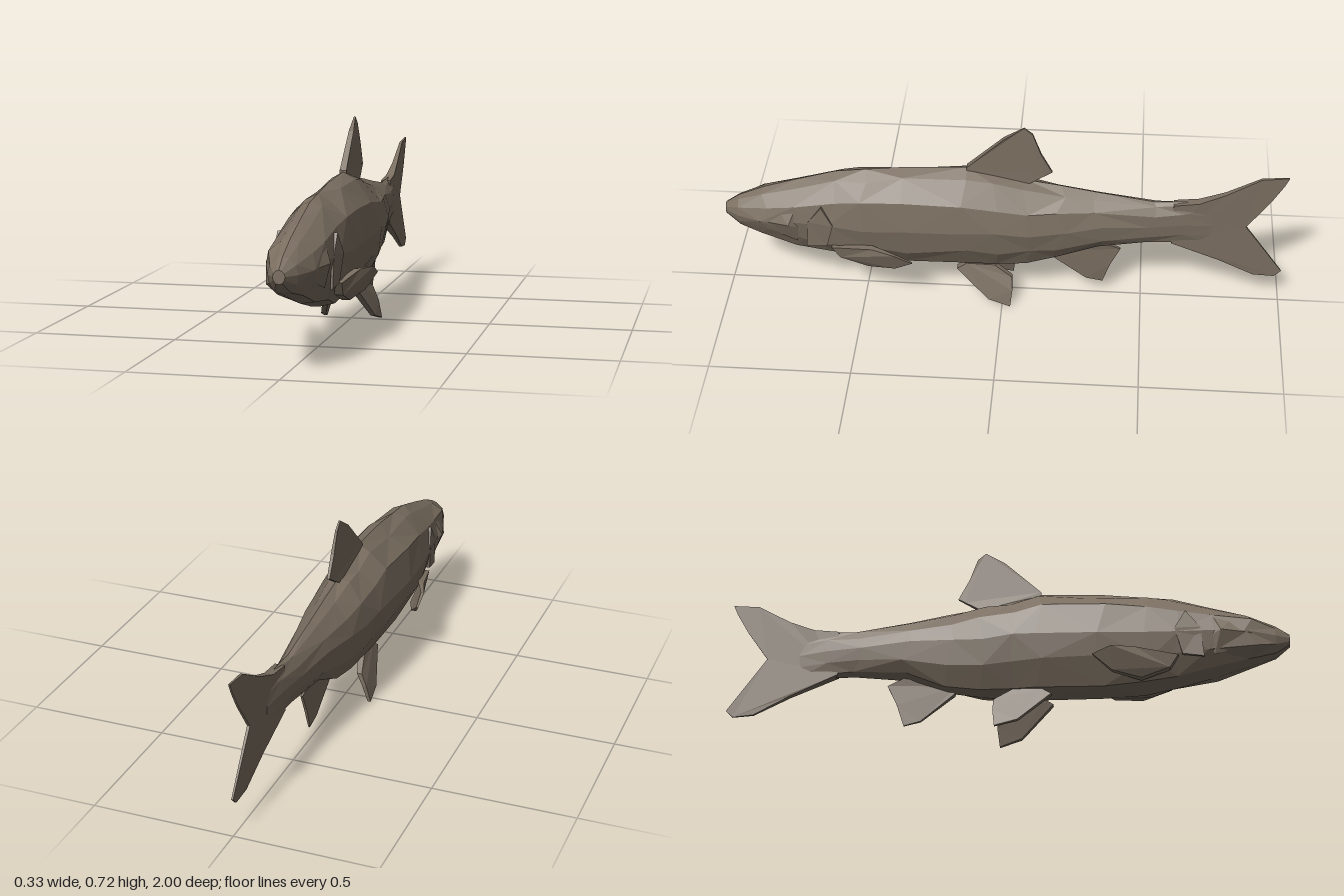
import * as THREE from 'three';

const skin = new THREE.MeshStandardMaterial({ color: 0x7a6e60, flatShading: true });
skin.name = 'grey brown skin';

// Geometry from loose points and triangle indices, with one normal per face
function faceted(points, index) {
  const g = new THREE.BufferGeometry();
  g.setAttribute('position', new THREE.Float32BufferAttribute(points.flat(), 3));
  g.setIndex(index);
  const flat = g.toNonIndexed();
  flat.computeVertexNormals();
  return flat;
}

function part(name, geometry) {
  const m = new THREE.Mesh(geometry, skin);
  m.name = name;
  return m;
}

// Body stations: z, bottom, top, half width
const stations = [
  [1.0, 0.305, 0.35, 0.02],
  [0.95, 0.265, 0.385, 0.05],
  [0.86, 0.235, 0.425, 0.083],
  [0.73, 0.195, 0.468, 0.098],
  [0.6, 0.162, 0.508, 0.108],
  [0.49, 0.14, 0.522, 0.118],
  [0.34, 0.135, 0.54, 0.124],
  [0.13, 0.138, 0.55, 0.123],
  [0.02, 0.145, 0.528, 0.115],
  [-0.08, 0.157, 0.505, 0.106],
  [-0.2, 0.178, 0.487, 0.09],
  [-0.34, 0.232, 0.462, 0.068],
  [-0.53, 0.255, 0.432, 0.043],
  [-0.64, 0.258, 0.438, 0.026],
  [-0.74, 0.25, 0.43, 0.012],
];
// Half cross-section: share of half width, share of height
const section = [[0, 1], [0.36, 0.94], [0.84, 0.77], [1, 0.52], [0.88, 0.27], [0.52, 0.05], [0, 0]];

function bodyGeometry() {
  let seed = 11;
  const jitter = (a) => {
    seed = (seed * 16807) % 2147483647;
    return (seed / 2147483647 - 0.5) * a;
  };
  const ring = [...section, ...section.slice(1, -1).reverse().map(([w, h]) => [-w, h])];
  const n = ring.length;
  const points = [];
  const index = [];
  stations.forEach(([z, lo, hi, half], s) => {
    const loose = s > 1 && s < stations.length - 2 ? 1 : 0;
    ring.forEach(([w, h]) => {
      const free = w === 0 ? 0 : loose;
      points.push([
        w * half * (1 + free * jitter(0.06)),
        lo + (hi - lo) * (h + free * jitter(0.06)),
        z + free * jitter(0.05),
      ]);
    });
  });
  for (let s = 0; s < stations.length - 1; s++) {
    for (let i = 0; i < n; i++) {
      const a = s * n + i, b = s * n + ((i + 1) % n), c = a + n, d = b + n;
      if ((s + i) % 2) index.push(a, b, d, a, d, c);
      else index.push(a, b, c, b, d, c);
    }
  }
  // Close the snout and the tail root
  const last = (stations.length - 1) * n;
  for (let i = 1; i < n - 1; i++) {
    index.push(0, i + 1, i, last, last + i, last + i + 1);
  }
  return faceted(points, index);
}

// Fin: outline points [x, y, z, half thickness], thickened along x; side -1 mirrors it
function finGeometry(outline, side = 1) {
  let pts = outline.map(([x, y, z, t]) => [x * side, y, z, t]);
  const flat = (list) => list.map(([, y, z]) => new THREE.Vector2(-z, y));
  if (THREE.ShapeUtils.isClockWise(flat(pts))) pts = pts.reverse();
  const n = pts.length;
  const points = [
    ...pts.map(([x, y, z, t]) => [x + t, y, z]),
    ...pts.map(([x, y, z, t]) => [x - t, y, z]),
  ];
  const index = [];
  THREE.ShapeUtils.triangulateShape(flat(pts), []).forEach(([a, b, c]) => {
    index.push(a, b, c, a + n, c + n, b + n);
  });
  for (let i = 0; i < n; i++) {
    const j = (i + 1) % n;
    index.push(i, i + n, j, j, i + n, j + n);
  }
  return faceted(points, index);
}

const dorsal = [
  [0, 0.53, 0.13, 0.012], [0, 0.555, 0.13, 0.012], [0, 0.68, 0, 0.009], [-0.003, 0.725, -0.07, 0.003],
  [-0.003, 0.7, -0.1, 0.004], [0, 0.62, -0.13, 0.006], [0, 0.545, -0.17, 0.005],
  [0, 0.53, -0.145, 0.007], [0, 0.49, -0.08, 0.012],
];
const tail = [
  [0, 0.43, -0.6, 0.018], [0, 0.442, -0.69, 0.016], [0, 0.48, -0.78, 0.01], [0, 0.55, -0.9, 0.005],
  [0, 0.56, -0.995, 0.003], [0, 0.525, -0.98, 0.003], [0, 0.455, -0.94, 0.004], [0, 0.34, -0.86, 0.005],
  [0, 0.145, -1.0, 0.003], [0, 0.12, -0.975, 0.003], [0, 0.125, -0.9, 0.005], [0, 0.19, -0.77, 0.01],
  [0, 0.262, -0.6, 0.018],
];
const anal = [
  [0, 0.2, -0.17, 0.012], [0, 0.17, -0.18, 0.012], [0, 0.075, -0.3, 0.006], [-0.002, 0.06, -0.36, 0.003],
  [0, 0.14, -0.385, 0.005], [0, 0.215, -0.42, 0.004], [0, 0.25, -0.34, 0.012],
];
const pelvic = [
  [0.045, 0.16, 0.13, 0.012], [0.05, 0.138, 0.165, 0.012], [0.09, 0.03, 0.05, 0.009],
  [0.101, 0.007, -0.03, 0.006], [0.085, 0.07, -0.037, 0.008], [0.065, 0.118, -0.035, 0.009],
  [0.048, 0.16, 0.03, 0.012],
];
const pectoral = [
  [0.095, 0.245, 0.61, 0.012], [0.125, 0.268, 0.46, 0.012], [0.158, 0.265, 0.38, 0.006],
  [0.16, 0.235, 0.315, 0.004], [0.125, 0.185, 0.38, 0.01], [0.09, 0.165, 0.48, 0.014],
  [0.09, 0.2, 0.58, 0.014],
];
// Raised gill cover edge and eye socket on each cheek
const gill = [
  [0.094, 0.415, 0.64, 0.006], [0.104, 0.345, 0.6, 0.008], [0.097, 0.25, 0.625, 0.006],
  [0.094, 0.24, 0.7, 0.004], [0.096, 0.35, 0.69, 0.004],
];

// Low pyramid standing on the cheek
function eyeGeometry(side) {
  const rim = [
    [0.076, 0.33, 0.87], [0.074, 0.385, 0.8], [0.082, 0.395, 0.735],
    [0.092, 0.32, 0.725], [0.08, 0.25, 0.735], [0.07, 0.28, 0.82],
  ];
  const points = [...rim, [0.106, 0.335, 0.76]].map(([x, y, z]) => [x * side, y, z]);
  const index = [];
  for (let i = 0; i < 6; i++) {
    const j = (i + 1) % 6;
    if (side > 0) index.push(i, 6, j);
    else index.push(i, j, 6);
  }
  return faceted(points, index);
}

export function createModel() {
  const fish = new THREE.Group();
  fish.name = 'fish';
  fish.add(
    part('body', bodyGeometry()),
    part('dorsalFin', finGeometry(dorsal)),
    part('tailFin', finGeometry(tail)),
    part('analFin', finGeometry(anal)),
  );
  for (const [label, side] of [['left', 1], ['right', -1]]) {
    fish.add(
      part(label + 'PelvicFin', finGeometry(pelvic, side)),
      part(label + 'PectoralFin', finGeometry(pectoral, side)),
      part(label + 'GillCover', finGeometry(gill, side)),
      part(label + 'Eye', eyeGeometry(side)),
    );
  }
  return fish;
}
